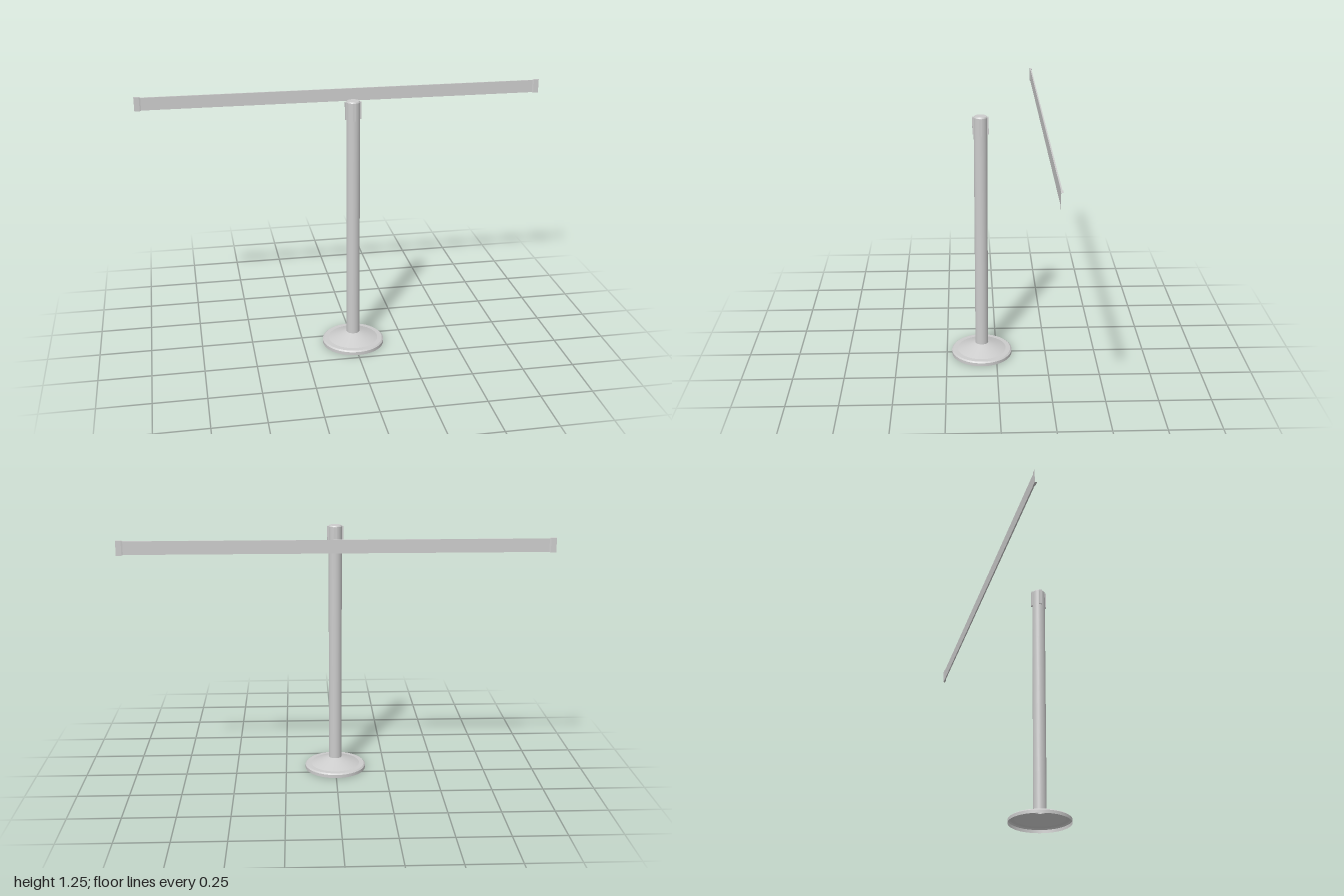
import * as THREE from 'three';

const POST_Z = 0.073;
const BELT_Z = -0.222;
const BELT_Y = 1.197;

const material = new THREE.MeshStandardMaterial({ color: 0xcccccc });
const openMaterial = new THREE.MeshStandardMaterial({ color: 0xcccccc, side: THREE.DoubleSide });

function addMesh(parent, name, geometry, mat = material) {
  const mesh = new THREE.Mesh(geometry, mat);
  mesh.name = name;
  parent.add(mesh);
  return mesh;
}

// Revolve a profile, doubling the corner points so edges stay crisp
function crispLathe(profile, segments = 48) {
  const points = profile.flatMap(([r, y], i) => {
    const p = new THREE.Vector2(r, y);
    return i > 0 && i < profile.length - 1 ? [p, p.clone()] : [p];
  });
  const geometry = new THREE.LatheGeometry(points, segments).toNonIndexed();
  const normal = geometry.attributes.normal;
  const position = geometry.attributes.position;
  // Normals from each band's slope: six vertices per quad, bands alternate with empty joints
  const bands = points.length - 1;
  for (let i = 0; i < position.count; i++) {
    const band = Math.floor(i / 6) % bands;
    const a = points[band], b = points[band + 1];
    const n = new THREE.Vector2(b.y - a.y, a.x - b.x);
    if (n.length() === 0) continue;
    n.normalize();
    const angle = Math.atan2(position.getX(i), position.getZ(i));
    normal.setXYZ(i, Math.sin(angle) * n.x, n.y, Math.cos(angle) * n.x);
  }
  return geometry;
}

// Open rectangular sleeve through sections [x, halfHeight, halfDepth]
function sleeve(sections) {
  const ring = ([x, h, d]) => [[x, -h, d], [x, h, d], [x, h, -d], [x, -h, -d]];
  const vertices = [];
  for (let i = 0; i < sections.length - 1; i++) {
    const a = ring(sections[i]), b = ring(sections[i + 1]);
    for (let k = 0; k < 4; k++) {
      const n = (k + 1) % 4;
      vertices.push(...a[k], ...b[k], ...b[n], ...a[k], ...b[n], ...a[n]);
    }
  }
  const geometry = new THREE.BufferGeometry();
  geometry.setAttribute('position', new THREE.Float32BufferAttribute(vertices, 3));
  geometry.computeVertexNormals();
  return geometry;
}

export function createModel() {
  const model = new THREE.Group();
  model.name = 'beltBarrier';

  const post = new THREE.Group();
  post.name = 'post';
  post.position.z = POST_Z;
  model.add(post);

  // Hollow base: rim, bevel, flat ledge and cone
  addMesh(post, 'base', crispLathe([
    [0.152, 0], [0.152, 0.016], [0.145, 0.022], [0.122, 0.023], [0.033, 0.058],
  ]), openMaterial);

  // Tube, open below, with a bevelled top
  addMesh(post, 'pole', crispLathe([
    [0.032, 0.057], [0.032, 1.24], [0.028, 1.246], [0, 1.246],
  ]), openMaterial);

  // Four belt slots around the head
  for (let i = 0; i < 4; i++) {
    const pivot = new THREE.Group();
    pivot.name = 'slotPivot';
    pivot.rotation.y = i * Math.PI / 2;
    post.add(pivot);
    addMesh(pivot, 'beltSlot', new THREE.BoxGeometry(0.014, 0.083, 0.012))
      .position.set(0, 1.1995, 0.0325);
  }

  // Stretched belt
  const belt = new THREE.Group();
  belt.name = 'belt';
  belt.position.set(0, BELT_Y, BELT_Z);
  model.add(belt);
  addMesh(belt, 'strap', sleeve([[-0.968, 0.031, 0.003], [0.968, 0.031, 0.003]]));

  // Flared clips at both ends
  for (const side of [-1, 1]) {
    const clip = addMesh(belt, side > 0 ? 'leftClip' : 'rightClip', sleeve([
      [0.968, 0.031, 0.003], [0.975, 0.034, 0.005], [1, 0.034, 0.005],
    ]));
    clip.rotation.y = side > 0 ? 0 : Math.PI;
  }

  return model;
}
